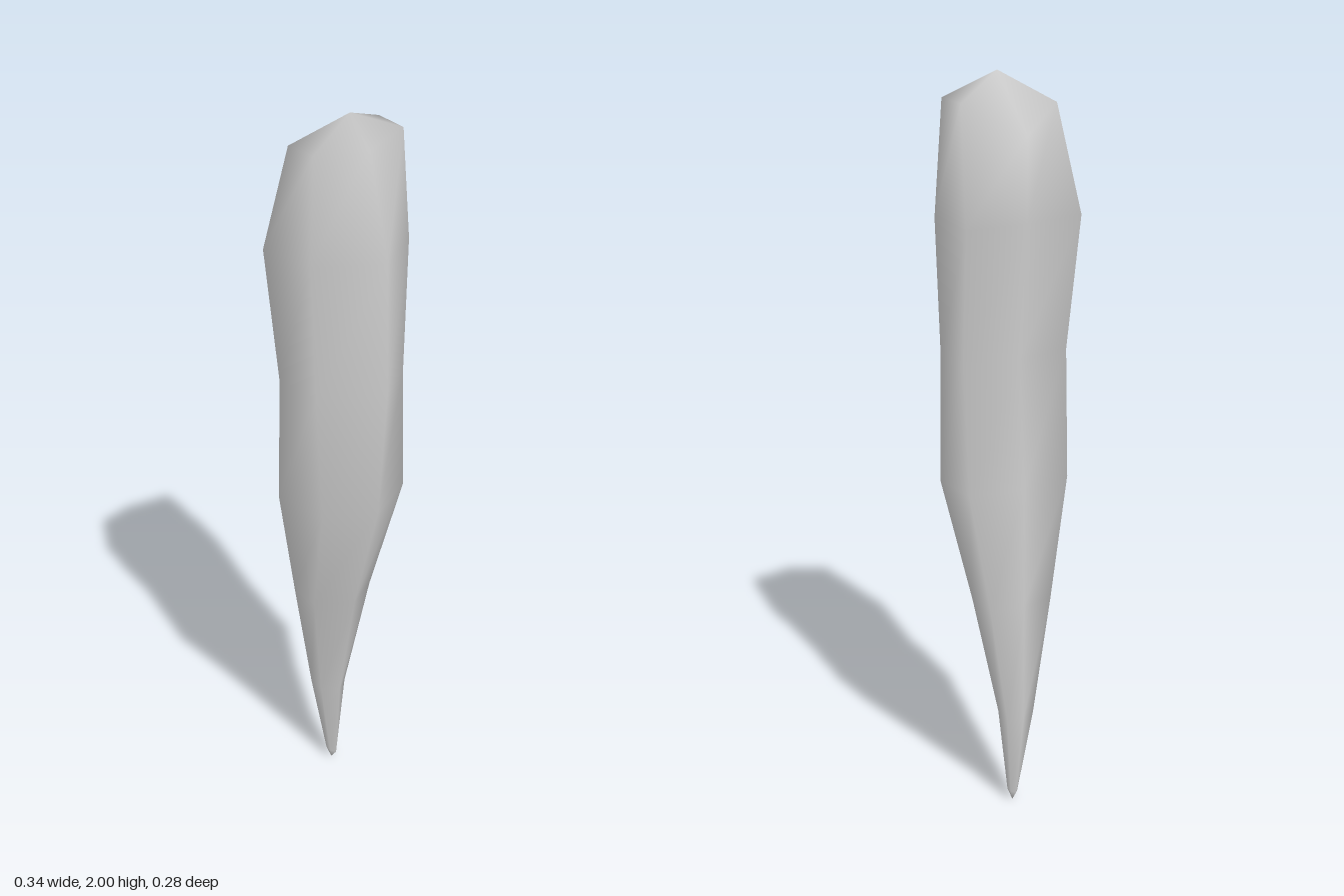
import * as THREE from 'three';

// Six-sided cross-sections from the tip up: height, then x,z of
// front, left-front, left-back, back, right-back, right-front corners.
const sections = [
  [0.03, 0.012, -0.065, 0.022, -0.08, 0.022, -0.1, 0.012, -0.112, 0.002, -0.1, 0.002, -0.08],
  [0.27, 0.008, -0.04, 0.045, -0.07, 0.045, -0.12, 0.005, -0.14, -0.035, -0.12, -0.035, -0.07],
  [0.6, 0.01, 0.03, 0.102, -0.03, 0.095, -0.12, 0.005, -0.14, -0.09, -0.115, -0.085, -0.025],
  [0.93, 0.02, 0.125, 0.16, 0.04, 0.15, -0.11, 0.0, -0.13, -0.152, -0.09, -0.12, 0.07],
  [1.28, 0.035, 0.14, 0.155, 0.04, 0.155, -0.09, 0.0, -0.104, -0.15, -0.08, -0.13, 0.06],
  [1.64, 0.03, 0.142, 0.17, 0.036, 0.167, -0.13, 0.0, -0.14, -0.173, -0.11, -0.138, 0.053],
  [1.91, 0.01, 0.09, 0.145, 0.04, 0.145, -0.065, 0.0, -0.142, -0.13, -0.055, -0.12, 0.04],
];
// The top rim dips towards the back
const rimTilt = [0.01, 0.03, 0.03, -0.05, 0.01, 0.01];

function taperedBody() {
  const sides = 6, last = sections.length - 1;
  const pos = [], index = [];
  sections.forEach(([y, ...xz], i) => {
    for (let j = 0; j < sides; j++) {
      pos.push(xz[2 * j], y + (i === last ? rimTilt[j] : 0), xz[2 * j + 1]);
    }
  });
  const tip = pos.length / 3, crown = tip + 1;
  pos.push(0.012, 0, -0.09, 0, 2, 0.02);

  for (let j = 0; j < sides; j++) {
    const k = (j + 1) % sides, top = last * sides;
    for (let i = 0; i < last; i++) {
      const a = i * sides + j, b = i * sides + k;
      index.push(a, b, b + sides, a, b + sides, a + sides);
    }
    index.push(tip, k, j, crown, top + j, top + k);
  }
  const geo = new THREE.BufferGeometry();
  geo.setAttribute('position', new THREE.Float32BufferAttribute(pos, 3));
  geo.setIndex(index);
  geo.computeVertexNormals();
  return geo;
}

export function createModel() {
  const group = new THREE.Group();
  group.name = 'taperedSpike';
  const body = new THREE.Mesh(taperedBody(), new THREE.MeshStandardMaterial({ color: 0xcccccc }));
  body.name = 'spikeBody';
  group.add(body);
  return group;
}
